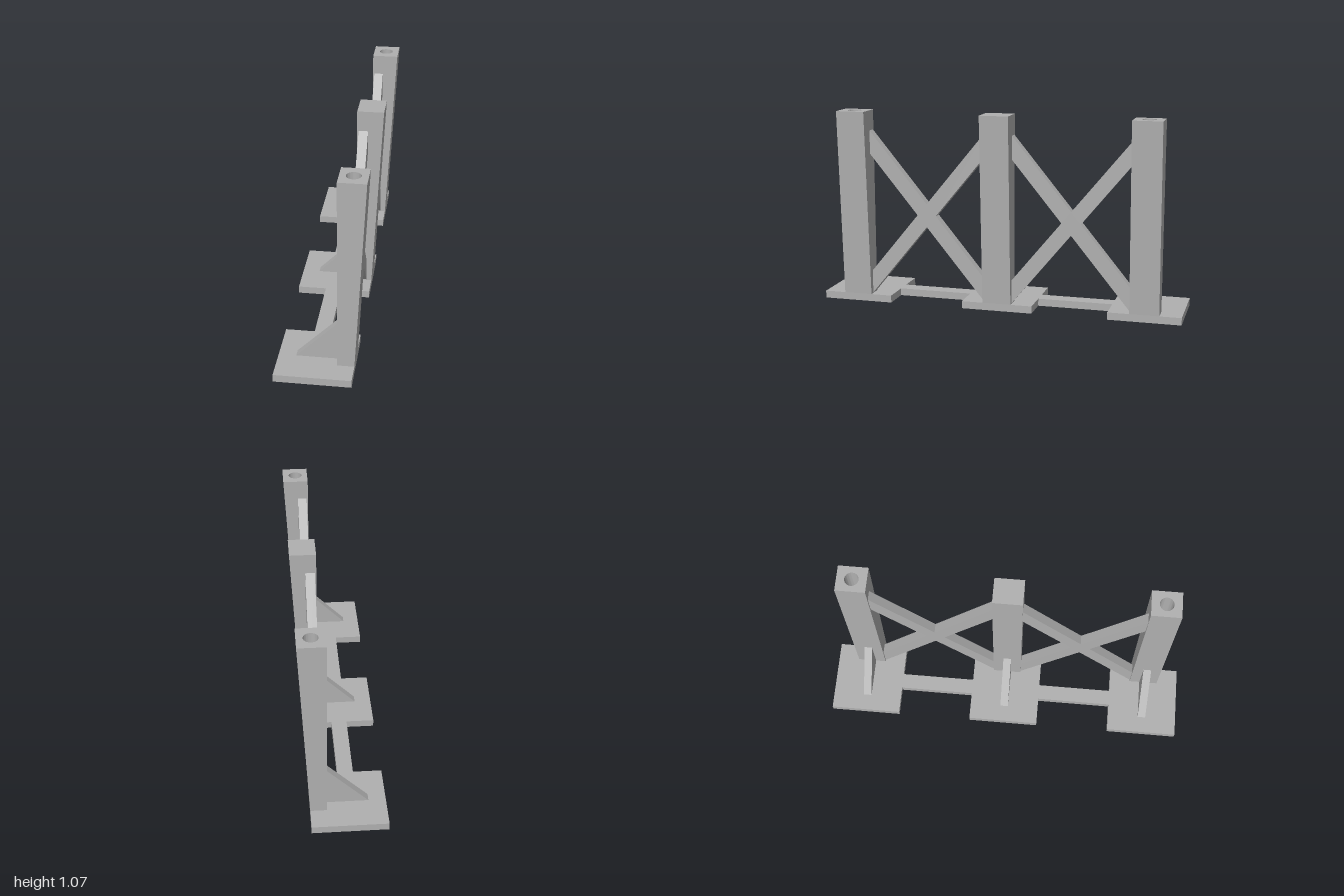
import * as THREE from 'three';
import { toCreasedNormals } from 'three/addons/utils/BufferGeometryUtils.js';

const BASE_H = 0.04, TOP = 1.067, HOLE_DEPTH = 0.2;
const POST_X0 = 0.081, POST_X1 = 0.221, FOOT_X = 0.167, POST_HALF = 0.079;
const SPACING = 0.804, PLATE_HALF = 0.196;

const outline = (pts) => new THREE.Shape(pts.map(([a, b]) => new THREE.Vector2(a, b)));
const extrude = (shape, depth) =>
  new THREE.ExtrudeGeometry(shape, { depth, bevelEnabled: false, curveSegments: 32 });

// right side of the post leans outwards from foot to top
const taperX = (y) => THREE.MathUtils.mapLinear(y, BASE_H, TOP, FOOT_X, POST_X1);

// one vertical stretch of a post, optionally bored through
function postSection(y0, y1, bored) {
  const shape = outline([
    [POST_X0, -POST_HALF], [POST_X1, -POST_HALF], [POST_X1, POST_HALF], [POST_X0, POST_HALF],
  ]);
  if (bored) {
    const hole = new THREE.Path();
    hole.absarc(0.15, 0, 0.037, 0, Math.PI * 2, true);
    shape.holes.push(hole);
  }
  const geo = extrude(shape, y1 - y0).rotateX(-Math.PI / 2).translate(0, y0, 0);
  const p = geo.attributes.position;
  for (let i = 0; i < p.count; i++) {
    if (p.getX(i) > POST_X1 - 1e-4) p.setX(i, taperX(p.getY(i)));
  }
  return toCreasedNormals(geo, 0.6);
}

export function createModel() {
  const model = new THREE.Group();
  model.name = 'bracedPostStand';
  const grey = new THREE.MeshStandardMaterial({ color: 0xb0b0b0 });
  grey.name = 'grey';
  const add = (name, geo, parent = model) => {
    const mesh = new THREE.Mesh(geo, grey);
    mesh.name = name;
    parent.add(mesh);
    return mesh;
  };

  // base: three plates joined by narrow strips, as one outline
  const right = [], left = [];
  for (const c of [-SPACING, 0, SPACING]) {
    const a = c - PLATE_HALF, b = c + PLATE_HALF;
    if (c > -SPACING) { right.push([0.01, a]); left.push([-0.074, a]); }
    right.push([FOOT_X, a], [FOOT_X, b]);
    left.push([-0.225, a], [-0.225, b]);
    if (c < SPACING) { right.push([0.01, b]); left.push([-0.074, b]); }
  }
  add('base', extrude(outline([...right, ...left.reverse()]), BASE_H).rotateX(-Math.PI / 2));

  // posts with triangular gussets; the end posts have a bored top
  const gussetGeo = extrude(outline([[-0.135, BASE_H], [POST_X0, BASE_H], [POST_X0, 0.258]]), 0.044)
    .translate(0, 0, -0.022);
  for (const z of [-SPACING, 0, SPACING]) {
    const post = new THREE.Group();
    post.name = z ? 'endPost' : 'middlePost';
    post.position.z = z;
    model.add(post);
    if (z) {
      add('postShaft', postSection(BASE_H, TOP - HOLE_DEPTH, false), post);
      add('postSocket', postSection(TOP - HOLE_DEPTH, TOP, true), post);
    } else {
      add('postShaft', postSection(BASE_H, TOP, false), post);
    }
    add('gusset', gussetGeo, post);
  }

  // cross braces between neighbouring posts
  const w = SPACING / 2 - POST_HALF, h = 0.393, t = 0.064, k = t * w / h;
  const cross = outline([
    [w, h - t], [w, h + t], [0, t], [-w, h + t], [-w, h - t], [-k, 0],
    [-w, -h + t], [-w, -h - t], [0, -t], [w, -h - t], [w, -h + t], [k, 0],
  ]);
  const braceGeo = extrude(cross, 0.05).translate(0, 0, -0.025).rotateY(Math.PI / 2);
  for (const s of [-1, 1]) {
    add('crossBrace', braceGeo).position.set(0.114, 0.5, s * SPACING / 2);
  }
  return model;
}
